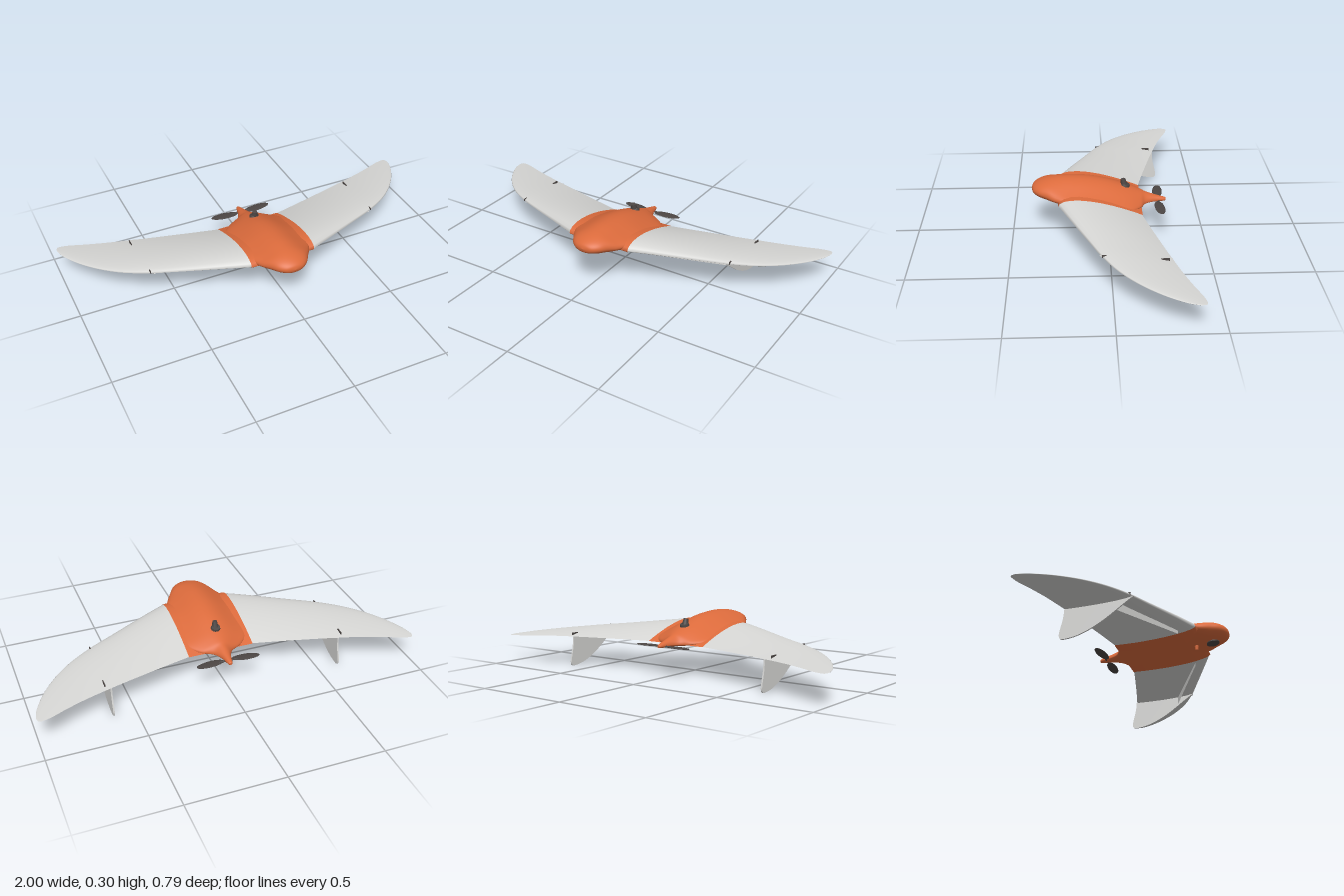
import * as THREE from 'three';

const mat = (name, color, side = THREE.FrontSide) => {
  const m = new THREE.MeshStandardMaterial({ color, side });
  m.name = name;
  return m;
};

// Skin a list of closed rings of [x, y, z] points
function loft(rings) {
  const n = rings[0].length, index = [];
  for (let i = 0; i < rings.length - 1; i++) {
    for (let j = 0; j < n; j++) {
      const k = (j + 1) % n;
      const a = i * n + j, b = i * n + k, c = a + n, d = b + n;
      index.push(a, b, c, b, d, c);
    }
  }
  const g = new THREE.BufferGeometry();
  g.setAttribute('position', new THREE.Float32BufferAttribute(rings.flat(2), 3));
  g.setIndex(index);
  g.computeVertexNormals();
  return g;
}

// Airfoil ring: trailing edge, over the top, leading edge, back underneath
function airfoil([x, zLE, zTE, yLE, yTE, top, bottom]) {
  const ring = [], N = 12;
  for (let j = 0; j <= 2 * N; j++) {
    const t = (1 + Math.cos((j / N) * Math.PI)) / 2;
    const f = 2.598 * Math.sqrt(t) * (1 - t) * (j <= N ? top : -bottom);
    ring.push([x, yLE + (yTE - yLE) * t + f, zLE + (zTE - zLE) * t]);
  }
  return ring;
}

// Smoothly resample a table of section values
function resample(rows, count) {
  const out = [];
  for (let i = 0; i <= count; i++) {
    const p = (i / count) * (rows.length - 1);
    const k = Math.min(Math.floor(p), rows.length - 2), f = p - k;
    const a = rows[Math.max(k - 1, 0)], b = rows[k], c = rows[k + 1], d = rows[Math.min(k + 2, rows.length - 1)];
    out.push(b.map((v, q) => v + 0.5 * f * (c[q] - a[q] + f * (2 * a[q] - 5 * v + 4 * c[q] - d[q] + f * (3 * (v - c[q]) + d[q] - a[q])))));
  }
  return out;
}

export function createModel() {
  const model = new THREE.Group();
  const orange = mat('orange', 0xdc6b3c);
  const white = mat('lightGrey', 0xd6d6d4);
  const whiteThin = mat('lightGreyThin', 0xd6d6d4, THREE.DoubleSide);
  const dark = mat('darkGrey', 0x4c4644, THREE.DoubleSide);
  const add = (name, geo, material, x = 0, y = 0, z = 0) => {
    const m = new THREE.Mesh(geo, material);
    m.name = name;
    m.position.set(x, y, z);
    model.add(m);
    return m;
  };

  // Wing stations: x, leading z, trailing z, leading y, trailing y, upper and lower thickness
  const root = [0.172, 0.255, -0.17, 0.215, 0.16, 0.047, 0.02];
  const stations = [
    root,
    [0.3, 0.2, -0.2, 0.208, 0.16, 0.037, 0.017],
    [0.5, 0.11, -0.25, 0.193, 0.159, 0.025, 0.013],
    [0.63, 0.05, -0.285, 0.184, 0.158, 0.019, 0.01],
    [0.75, -0.022, -0.32, 0.175, 0.156, 0.013, 0.008],
    [0.85, -0.11, -0.355, 0.167, 0.153, 0.009, 0.006],
    [0.93, -0.21, -0.387, 0.159, 0.15, 0.006, 0.004],
    [0.98, -0.3, -0.398, 0.153, 0.149, 0.003, 0.003],
    [0.995, -0.345, -0.391, 0.151, 0.149, 0.002, 0.002],
    [1.0, -0.368, -0.372, 0.15, 0.15, 0, 0],
  ];
  const leftRings = resample(stations, 36).map(airfoil);
  const rightRings = leftRings.map(r => r.map(([x, y, z]) => [-x, y, z])).reverse();
  add('leftWing', loft(leftRings), white);
  add('rightWing', loft(rightRings), white);

  // Orange centre section between the wings
  const centre = [-0.175, -0.09, 0, 0.09, 0.175].map(x => airfoil([x, 0.258, -0.173, 0.215, 0.16, 0.05, 0.023]));
  add('centreSection', loft(centre), orange);

  // Body pod: z, half width, side y, top y, bottom y, flare of the shoulders
  const podRows = [
    [0.396, 0.001, 0.242, 0.243, 0.241, 0],
    [0.387, 0.045, 0.242, 0.263, 0.22, 0],
    [0.36, 0.08, 0.242, 0.28, 0.206, 0],
    [0.32, 0.106, 0.238, 0.293, 0.196, 0.05],
    [0.27, 0.138, 0.228, 0.301, 0.19, 0.3],
    [0.2, 0.168, 0.228, 0.304, 0.185, 0.6],
    [0.1, 0.172, 0.225, 0.297, 0.175, 0.65],
    [0, 0.172, 0.205, 0.278, 0.165, 0.65],
    [-0.1, 0.165, 0.18, 0.245, 0.157, 0.6],
    [-0.165, 0.11, 0.168, 0.22, 0.154, 0.5],
    [-0.195, 0.055, 0.165, 0.207, 0.153, 0.3],
    [-0.24, 0.027, 0.165, 0.191, 0.153, 0],
    [-0.3, 0.011, 0.163, 0.173, 0.154, 0],
    [-0.305, 0.001, 0.163, 0.164, 0.162, 0],
  ];
  const podRings = resample(podRows, 65).map(([z, w, mid, top, bottom, flare]) => {
    const ring = [];
    for (let j = 0; j < 40; j++) {
      const a = (j / 40) * Math.PI * 2, u = -Math.cos(a), s = Math.sin(a);
      const bell = 0.5 + 0.5 * Math.cos(Math.PI * u);
      const y = s >= 0 ? (top - mid) * (s + (bell - s) * flare) : (bottom - mid) * -s;
      ring.push([w * u, mid + y, z]);
    }
    return ring;
  });
  add('bodyPod', loft(podRings), orange);

  // Drooping fin outline, drawn as (z, y)
  const finShape = new THREE.Shape();
  finShape.moveTo(0.06, 0.182);
  finShape.bezierCurveTo(0, 0.145, -0.05, 0.095, -0.12, 0.055);
  finShape.bezierCurveTo(-0.18, 0.02, -0.23, 0.002, -0.285, 0);
  finShape.bezierCurveTo(-0.3, 0, -0.305, 0.008, -0.305, 0.025);
  finShape.bezierCurveTo(-0.3, 0.07, -0.285, 0.09, -0.283, 0.158);
  finShape.lineTo(-0.1, 0.174);
  const finGeo = new THREE.ExtrudeGeometry(finShape, { depth: 0.008, bevelEnabled: false, curveSegments: 12 });
  finGeo.rotateY(-Math.PI / 2); // shape x becomes z

  for (const s of [1, -1]) {
    const side = s > 0 ? 'left' : 'right';
    add(side + 'Fin', finGeo, white, s * 0.614 + 0.004);

    // Ridge under the wing leading out to the fin
    const ridge = new THREE.BufferGeometry();
    ridge.setAttribute('position', new THREE.Float32BufferAttribute([
      s * 0.2, 0.19, 0.17, s * 0.2, 0.17, 0.17, s * 0.61, 0.175, -0.03, s * 0.61, 0.126, -0.03], 3));
    ridge.setIndex([0, 1, 2, 1, 3, 2]);
    ridge.computeVertexNormals();
    add(side + 'UnderwingRidge', ridge, whiteThin);

    // Small slots on the wing
    add(side + 'HingeSlot', new THREE.BoxGeometry(0.005, 0.016, 0.04), dark, s * 0.64, 0.167, -0.245);
    add(side + 'EdgeSlot', new THREE.BoxGeometry(0.005, 0.012, 0.02), dark, s * 0.633, 0.188, 0.04);

    // Propeller blade
    const blade = new THREE.SphereGeometry(1, 20, 10);
    blade.scale(0.075, 0.004, 0.026);
    const b = add(side + 'PropellerBlade', blade, dark, s * 0.095, 0.16, -0.268);
    b.rotation.y = s * 0.08;
    const shank = add(side + 'BladeShank', new THREE.CylinderGeometry(0.005, 0.005, 0.05, 8), dark, s * 0.025, 0.16, -0.268);
    shank.rotation.z = Math.PI / 2;
  }

  // Knob on the rear deck
  const base = add('knobBase', new THREE.CylinderGeometry(0.022, 0.026, 0.014, 16), dark, 0, 0.25, -0.093);
  base.rotation.x = -0.35;
  const knob = add('knob', new THREE.CylinderGeometry(0.012, 0.018, 0.035, 12), dark, 0, 0.266, -0.083);
  knob.rotation.x = 0.2;

  // Peg and sensor disc under the nose
  add('bellyPeg', new THREE.CylinderGeometry(0.012, 0.008, 0.03, 12), orange, 0, 0.179, 0.222);
  const lens = add('noseSensor', new THREE.CylinderGeometry(0.034, 0.034, 0.008, 20), dark, 0, 0.195, 0.31);
  lens.rotation.x = -0.15;

  return model;
}
